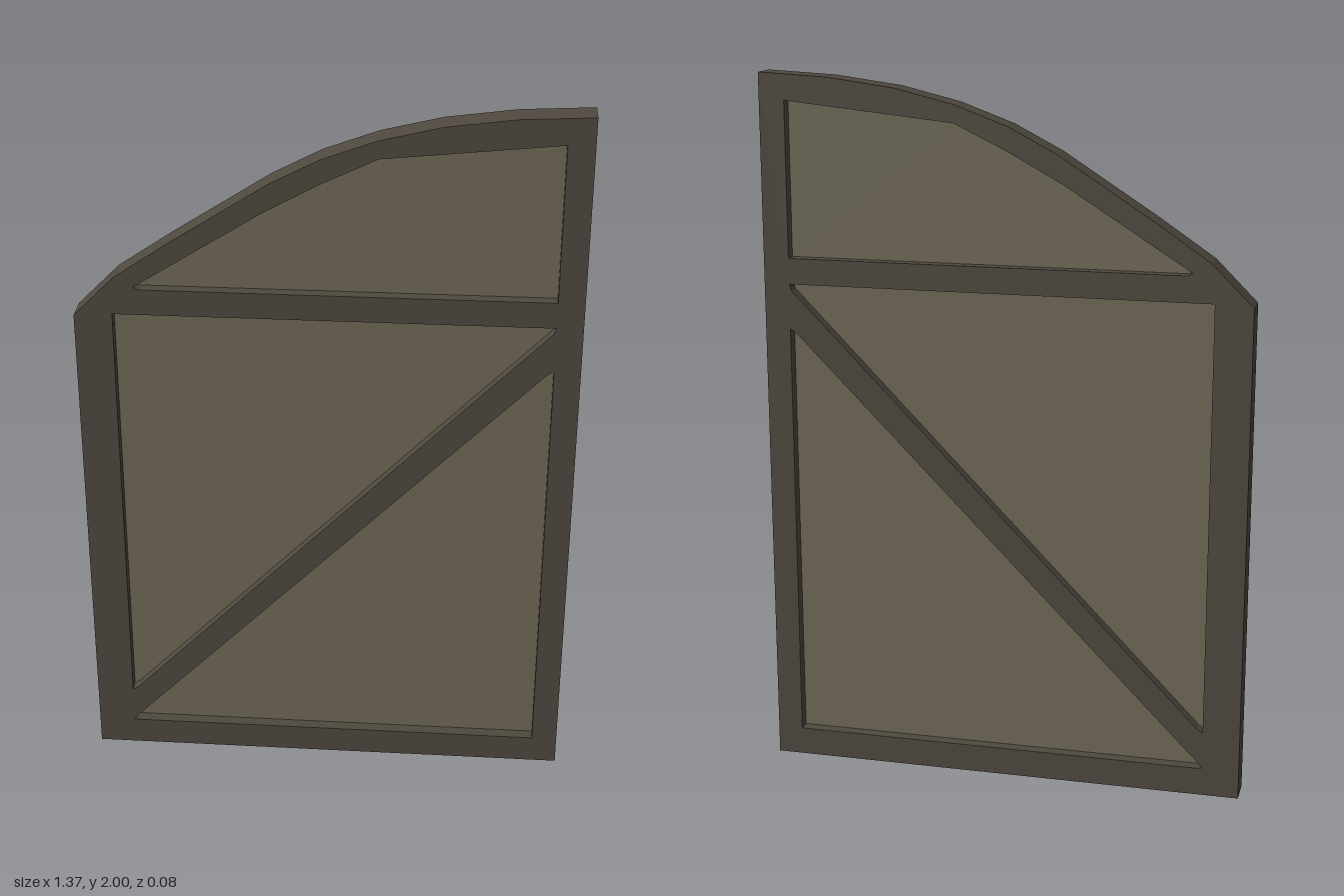
import * as THREE from 'three';

const DEPTH = 0.084, PANEL = 0.016;

// Arched top edge, from the low stile to the high one
const arch = [
  [-0.685, 1.41], [-0.57, 1.525], [-0.415, 1.63], [-0.15, 1.80], [-0.015, 1.87],
  [0.135, 1.925], [0.30, 1.965], [0.49, 1.99], [0.685, 2.0],
];

// Openings between the stiles, rails and diagonal brace
const openings = {
  archPanel: [[-0.52, 1.497], [-0.505, 1.49], [0.613, 1.49], [0.613, 1.925], [0.135, 1.875],
    [-0.015, 1.803], [-0.17, 1.718]],
  upperPanel: [[-0.58, 0.19], [-0.565, 0.198], [0.607, 1.40], [0.613, 1.417], [-0.58, 1.417]],
  lowerPanel: [[-0.58, 0.08], [0.613, 0.08], [0.613, 1.29], [0.597, 1.28], [-0.565, 0.10]],
};

const points = (list) => list.map(([x, y]) => new THREE.Vector2(x, y));

function slab(shape, depth, material, name) {
  const geometry = new THREE.ExtrudeGeometry(shape, { depth, bevelEnabled: false });
  geometry.translate(0, 0, -depth / 2);
  const mesh = new THREE.Mesh(geometry, material);
  mesh.name = name;
  return mesh;
}

export function createModel() {
  const frameWood = new THREE.MeshStandardMaterial({ color: 0x4f493f, flatShading: true });
  frameWood.name = 'darkFrameWood';
  const panelWood = new THREE.MeshStandardMaterial({ color: 0x706a56, flatShading: true });
  panelWood.name = 'lightPanelWood';

  const gate = new THREE.Group();
  gate.name = 'gateLeaf';

  // Frame with its rails and brace in one piece
  const outline = new THREE.Shape(points([[0.685, 0], ...arch.slice().reverse(), [-0.685, 0]]));
  for (const list of Object.values(openings)) outline.holes.push(new THREE.Path(points(list)));
  gate.add(slab(outline, DEPTH, frameWood, 'frame'));

  // Thin recessed panels filling the openings
  for (const [name, list] of Object.entries(openings)) {
    gate.add(slab(new THREE.Shape(points(list)), PANEL, panelWood, name));
  }
  return gate;
}
